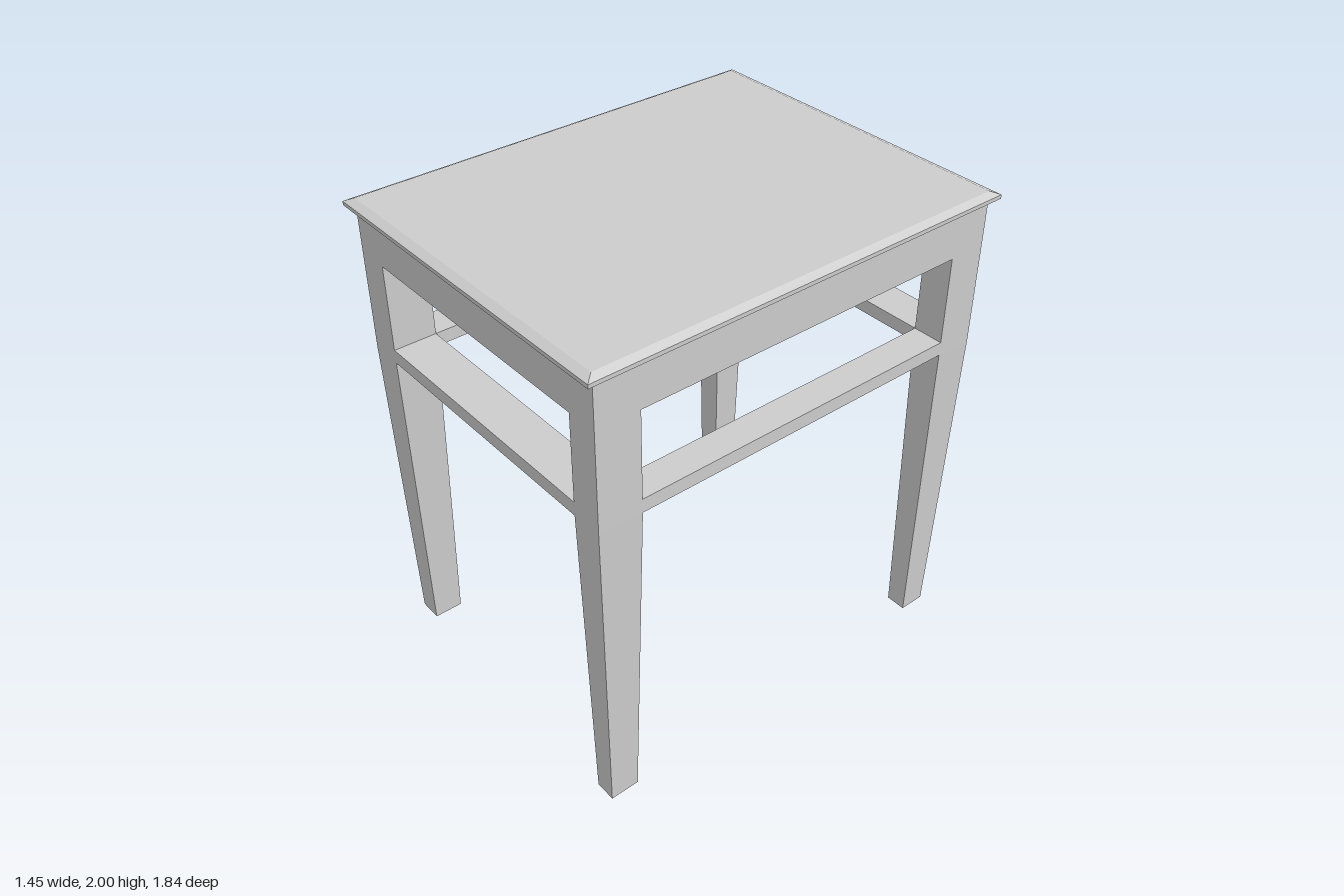
import * as THREE from 'three';

const material = new THREE.MeshStandardMaterial({ color: 0xcccccc, flatShading: true });

// Closed solid through rectangular sections [y, x0, x1, z0, z1], listed bottom to top
function loft(name, sections) {
  const positions = [], index = [];
  for (const [y, x0, x1, z0, z1] of sections) {
    positions.push(x0, y, z1, x1, y, z1, x1, y, z0, x0, y, z0);
  }
  for (let s = 0; s < sections.length - 1; s++) {
    for (let i = 0; i < 4; i++) {
      const a = s * 4 + i, b = s * 4 + (i + 1) % 4;
      index.push(a, b, b + 4, a, b + 4, a + 4);
    }
  }
  const t = (sections.length - 1) * 4;
  index.push(0, 2, 1, 0, 3, 2, t, t + 1, t + 2, t, t + 2, t + 3);
  const indexed = new THREE.BufferGeometry();
  indexed.setAttribute('position', new THREE.Float32BufferAttribute(positions, 3));
  indexed.setIndex(index);
  const geometry = indexed.toNonIndexed();
  geometry.computeVertexNormals();
  const mesh = new THREE.Mesh(geometry, material);
  mesh.name = name;
  return mesh;
}

function block(name, y0, y1, x0, x1, z0, z1) {
  const mesh = new THREE.Mesh(new THREE.BoxGeometry(x1 - x0, y1 - y0, z1 - z0), material);
  mesh.position.set((x0 + x1) / 2, (y0 + y1) / 2, (z0 + z1) / 2);
  mesh.name = name;
  return mesh;
}

export function createModel() {
  const table = new THREE.Group();
  table.name = 'sideTable';

  const railBottom = 1.363, railTop = 1.42, apronBottom = 1.78, apronTop = 1.97;

  // Leg extents along each axis: upper [min, max] and foot [min, max]
  const xSpans = {
    Right: { top: [-0.7, -0.56], foot: [-0.68, -0.58] },
    Left: { top: [0.57, 0.7], foot: [0.59, 0.677] },
  };
  const zSpans = {
    front: { top: [0.705, 0.885], foot: [0.735, 0.858] },
    back: { top: [-0.885, -0.725], foot: [-0.86, -0.747] },
  };

  // Legs: straight above the rails, tapering to the feet
  for (const [zName, z] of Object.entries(zSpans)) {
    for (const [xName, x] of Object.entries(xSpans)) {
      table.add(loft(`${zName}${xName}Leg`, [
        [0, ...x.foot, ...z.foot],
        [railBottom, ...x.top, ...z.top],
        [apronBottom, ...x.top, ...z.top],
      ]));
    }
  }

  // Rails flush with the legs
  for (const [name, z] of Object.entries(zSpans)) {
    table.add(block(`${name}Rail`, railBottom, railTop, -0.56, 0.57, ...z.top));
  }
  for (const [name, x] of Object.entries(xSpans)) {
    table.add(block(`side${name}Rail`, railBottom, railTop, ...x.top, -0.725, 0.705));
  }

  // Apron body under the top
  table.add(block('apron', apronBottom, apronTop, -0.7, 0.7, -0.885, 0.885));

  // Overhanging top with a bevelled upper edge
  table.add(loft('tableTop', [
    [apronTop, -0.727, 0.727, -0.92, 0.92],
    [1.986, -0.727, 0.727, -0.92, 0.92],
    [2, -0.697, 0.697, -0.886, 0.886],
  ]));

  return table;
}
